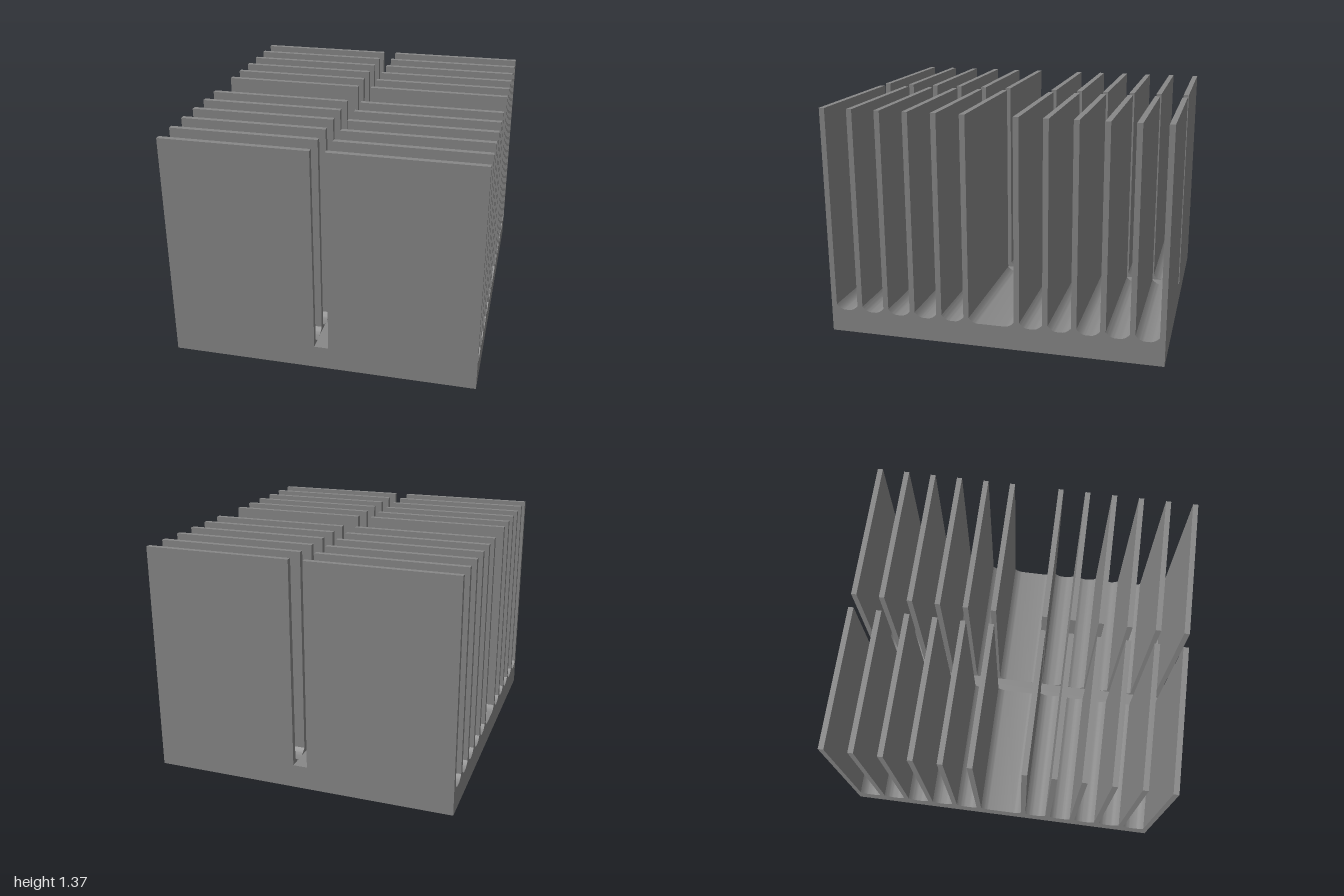
import * as THREE from 'three';
import { toCreasedNormals } from 'three/addons/utils/BufferGeometryUtils.js';

const HALF_X = 0.905, SLOT = 0.042, HEIGHT = 1.365;
const FLOOR = 0.14, FILLET_Y = 0.17, FILLET_Z = 0.055;
const FIN = 0.032, PITCH = 0.1665;

// Cross-section of base and fins, drawn with z along the shape's x axis
function finProfile() {
  const starts = [];
  for (let i = 0; i < 6; i++) starts.push(-1 + i * PITCH);
  for (let i = 5; i >= 0; i--) starts.push(1 - i * PITCH - FIN);

  const s = new THREE.Shape();
  s.moveTo(1, 0);
  s.lineTo(-1, 0);
  starts.forEach((a, i) => {
    const b = a + FIN;
    s.lineTo(a, HEIGHT);
    s.lineTo(b, HEIGHT);
    if (i === starts.length - 1) return;
    // rounded channel to the next fin
    const next = starts[i + 1];
    s.lineTo(b, FILLET_Y);
    s.quadraticCurveTo(b + FILLET_Z * 0.5, FLOOR, b + FILLET_Z, FLOOR);
    s.lineTo(next - FILLET_Z, FLOOR);
    s.quadraticCurveTo(next - FILLET_Z * 0.5, FLOOR, next, FILLET_Y);
  });
  s.closePath();
  return s;
}

export function createModel() {
  const group = new THREE.Group();
  group.name = 'heatSink';
  const material = new THREE.MeshStandardMaterial({ color: 0x888888 });

  // Finned halves on either side of the slot
  const width = HALF_X - SLOT;
  let geo = new THREE.ExtrudeGeometry(finProfile(), { depth: width, bevelEnabled: false, curveSegments: 8 });
  geo.translate(0, 0, -width / 2);
  geo.rotateY(-Math.PI / 2);
  geo = toCreasedNormals(geo, 0.5);
  for (const [name, side] of [['leftFins', 1], ['rightFins', -1]]) {
    const fins = new THREE.Mesh(geo, material);
    fins.name = name;
    fins.position.x = side * (SLOT + width / 2);
    group.add(fins);
  }

  // Flat strip of base under the slot
  const strip = new THREE.Mesh(new THREE.BoxGeometry(SLOT * 2, FLOOR, 2), material);
  strip.name = 'slotFloor';
  strip.position.y = FLOOR / 2;
  group.add(strip);

  return group;
}
